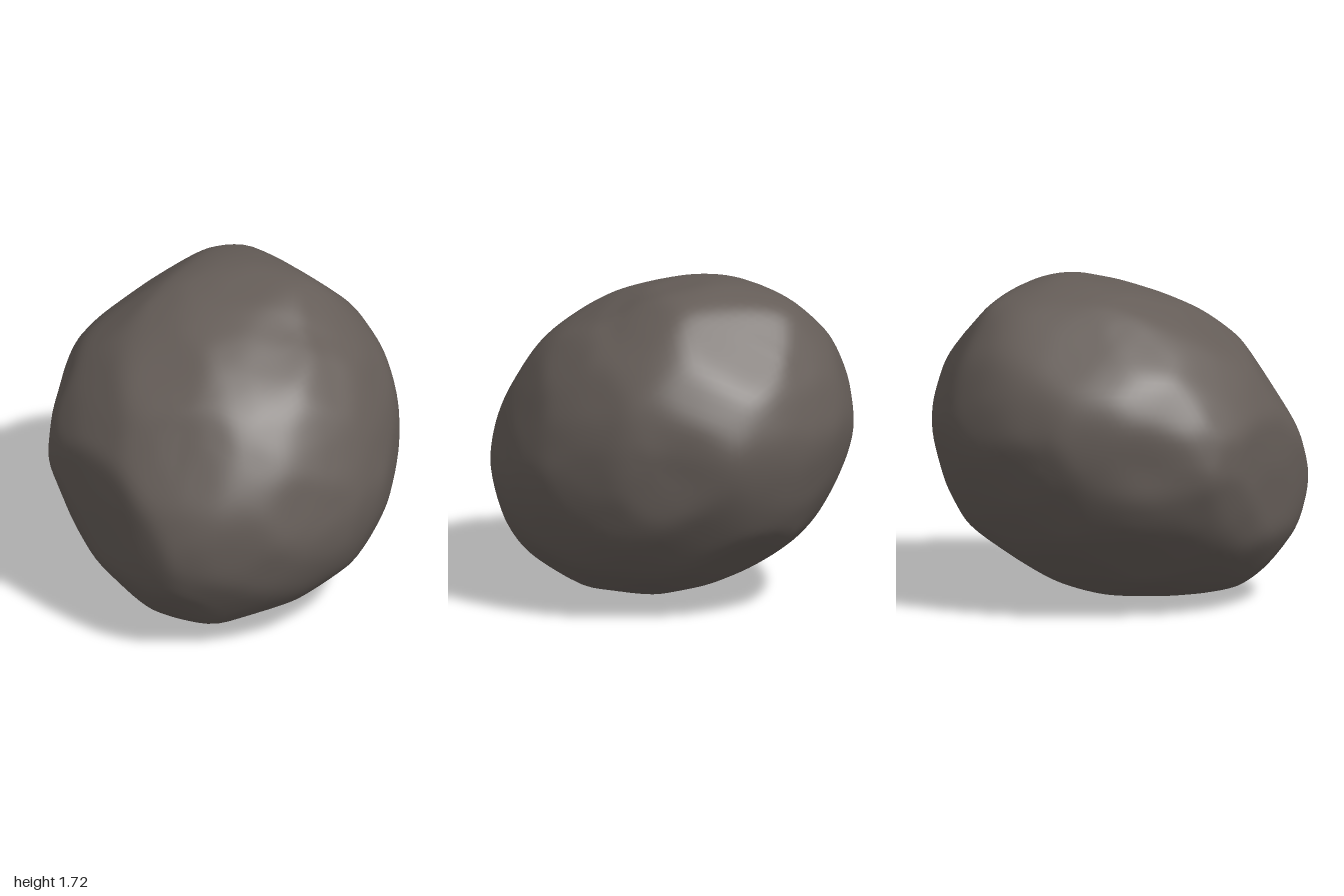
import * as THREE from 'three';
import { mergeVertices } from 'three/addons/utils/BufferGeometryUtils.js';

const MID_Y = 0.86;

// Outlines of the boulder around its middle, as [across, up] pairs
const frontRim = [0.15, 0.87, 0.32, 0.84, 0.48, 0.72, 0.72, 0.48, 0.84, 0.24, 0.91, -0.06, 0.88, -0.26,
  0.8, -0.46, 0.69, -0.61, 0.49, -0.76, 0.3, -0.81, 0.11, -0.86, -0.25, -0.79, -0.53, -0.65, -0.75, -0.41,
  -0.87, -0.17, -0.91, 0.23, -0.88, 0.34, -0.81, 0.48, -0.5, 0.72, -0.38, 0.8, -0.2, 0.85];
const sideRim = [-1, -0.23, -0.93, 0.04, -0.8, 0.26, -0.63, 0.52, -0.38, 0.71, -0.05, 0.82, 0.35, 0.87,
  0.55, 0.82, 0.68, 0.78, 0.75, 0.7, 0.93, 0.39, 1, 0.14, 0.99, 0.02, 0.92, -0.24, 0.79, -0.49,
  0.65, -0.59, 0.35, -0.74, 0.05, -0.84, -0.15, -0.86, -0.55, -0.82, -0.75, -0.68, -0.93, -0.46];
const topRim = [0, 1, 0.24, 0.97, 0.5, 0.87, 0.74, 0.57, 0.84, 0.36, 0.88, 0.1, 0.905, -0.1, 0.84, -0.36,
  0.72, -0.56, 0.54, -0.77, 0.2, -0.95, 0, -0.99, -0.2, -0.91, -0.5, -0.72, -0.7, -0.59, -0.86, -0.42,
  -0.9, -0.1, -0.91, 0.1, -0.86, 0.4, -0.72, 0.64, -0.45, 0.9, -0.2, 0.99];
const slantFrontRim = [0.04, 1, 0.23, 1, 0.53, 0.78, 0.75, 0.61, 0.88, 0.38, 0.93, 0.11, 0.9, -0.16,
  0.8, -0.45, 0.61, -0.7, 0.24, -0.89, -0.22, -0.98, -0.53, -0.85, -0.76, -0.59, -0.95, -0.02,
  -0.9, 0.24, -0.74, 0.54, -0.5, 0.73, -0.19, 0.9];
const slantBackRim = [-0.42, 0.75, -0.03, 0.79, 0.18, 0.78, 0.62, 0.58, 0.84, 0.31, 0.95, 0.1, 0.95, -0.1,
  0.82, -0.33, 0.65, -0.5, 0.34, -0.73, 0.02, -0.83, -0.32, -0.77, -0.66, -0.59, -0.86, -0.32,
  -0.93, 0.1, -0.86, 0.35, -0.63, 0.63];
const slantUnderRim = [0.02, 0.96, 0.38, 0.92, 0.62, 0.87, 0.84, 0.61, 0.94, 0.35, 0.97, 0.1, 0.86, -0.22,
  0.69, -0.5, 0.35, -0.77, -0.14, -0.93, -0.35, -0.94, -0.65, -0.8, -0.85, -0.51, -0.93, -0.21,
  -0.85, 0.18, -0.68, 0.5, -0.42, 0.75];

// An outline placed in space by turn and tilt, in degrees
function slice(rim, turn, tilt) {
  const a = THREE.MathUtils.degToRad(turn), e = THREE.MathUtils.degToRad(tilt);
  const normal = new THREE.Vector3(Math.sin(a) * Math.cos(e), Math.sin(e), Math.cos(a) * Math.cos(e));
  const right = new THREE.Vector3(Math.cos(a), 0, -Math.sin(a));
  const up = normal.clone().cross(right);
  return { rim, normal, right, up };
}
const slices = [
  slice(frontRim, 0, 0), slice(sideRim, 90, 0), slice(topRim, 0, 90),
  slice(slantFrontRim, 30, 30), slice(slantBackRim, 210, 30), slice(slantUnderRim, 135, -30),
];

// Tilted ellipsoid that the outlines refine
const ellipsoid = (u) => Math.sqrt(0.828 * u.x * u.x + 0.74 * u.y * u.y + u.z * u.z
  - 0.3 * u.y * u.z - 0.1 * u.x * u.y);

// Reach of the boulder towards u: the ellipsoid scaled by the nearest outlines
function reach(u) {
  let sum = 0, total = 0;
  const flat = new THREE.Vector3();
  for (const { rim, normal, right, up } of slices) {
    const off = u.dot(normal);
    flat.copy(u).addScaledVector(normal, -off);
    if (flat.lengthSq() < 1e-4) continue;
    flat.normalize();
    const a = flat.dot(right), b = flat.dot(up);
    let far = 0;
    for (let i = 0; i < rim.length; i += 2) far = Math.max(far, rim[i] * a + rim[i + 1] * b);
    const weight = 1 / (off * off + 0.002);
    sum += weight * far / ellipsoid(flat);
    total += weight;
  }
  return ellipsoid(u) * sum / total;
}

// Shallow hollows: centre direction, depth
const hollows = [
  [new THREE.Vector3(0.75, 0.08, -0.65).normalize(), 0.02],
  [new THREE.Vector3(0.45, 0.65, 0).normalize(), 0.02],
  [new THREE.Vector3(-0.87, 0.05, 0.1).normalize(), 0.02],
  [new THREE.Vector3(0.47, -0.75, -0.12).normalize(), 0.02],
];

function boulderGeometry() {
  let geometry = new THREE.IcosahedronGeometry(1, 24);
  geometry.deleteAttribute('normal');
  geometry.deleteAttribute('uv');
  geometry = mergeVertices(geometry, 1e-4);
  const pos = geometry.attributes.position, index = geometry.index;

  // Evenly spread cutting planes
  const planes = [], count = 2500;
  for (let i = 0; i < count; i++) {
    const y = 1 - (2 * i + 1) / count, r = Math.sqrt(1 - y * y), t = i * 2.399963;
    const u = new THREE.Vector3(r * Math.cos(t), y, r * Math.sin(t));
    planes.push(u.divideScalar(reach(u)));
  }

  // Distance to the nearest plane along each vertex direction
  const dirs = [];
  let radii = [];
  for (let i = 0; i < pos.count; i++) {
    const d = new THREE.Vector3().fromBufferAttribute(pos, i).normalize();
    let nearest = 0;
    for (const p of planes) nearest = Math.max(nearest, d.dot(p));
    let r = 1 / nearest;
    for (const [c, depth] of hollows) r -= depth * Math.exp((d.dot(c) - 1) * 45);
    dirs.push(d);
    radii.push(r);
  }

  // Wear the edges smooth
  for (let pass = 0; pass < 2; pass++) {
    const sums = radii.map((r) => r * 3), counts = radii.map(() => 3);
    for (let i = 0; i < index.count; i++) {
      const a = index.getX(i), b = index.getX(i % 3 === 2 ? i - 2 : i + 1);
      sums[a] += radii[b];
      counts[a]++;
    }
    radii = sums.map((s, i) => s / counts[i]);
  }

  dirs.forEach((d, i) => pos.setXYZ(i, d.x * radii[i], d.y * radii[i] + MID_Y, d.z * radii[i]));
  geometry.computeBoundingBox();
  geometry.translate(0, -geometry.boundingBox.min.y, 0);
  geometry.computeVertexNormals();
  return geometry;
}

export function createModel() {
  const group = new THREE.Group();
  group.name = 'rock';
  const stone = new THREE.MeshStandardMaterial({ color: 0x655d58 });
  stone.name = 'brown grey stone';
  const boulder = new THREE.Mesh(boulderGeometry(), stone);
  boulder.name = 'boulder';
  group.add(boulder);
  return group;
}
